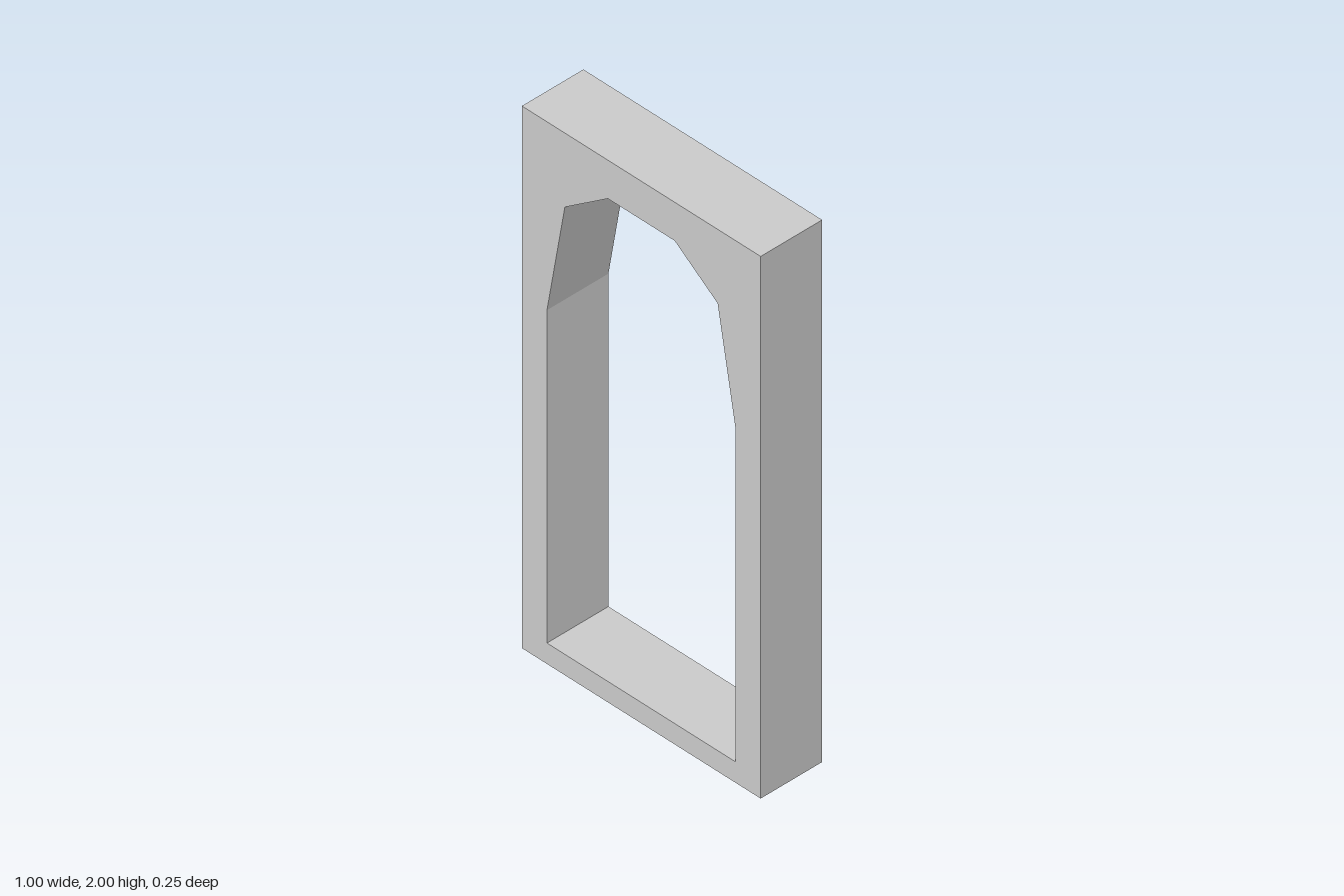
import * as THREE from 'three';

const WIDTH = 1, HEIGHT = 2, DEPTH = 0.25;

// Right half of the arched opening, from sill to crown
const HALF_OPENING = [[0.395, 0.077], [0.395, 1.305], [0.32, 1.727], [0.14, 1.858]];

export function createModel() {
  const group = new THREE.Group();
  group.name = 'archedFrame';

  // Rectangular slab outline
  const w = WIDTH / 2;
  const outline = new THREE.Shape([[-w, 0], [w, 0], [w, HEIGHT], [-w, HEIGHT]]
    .map(([x, y]) => new THREE.Vector2(x, y)));

  // Faceted arch opening, mirrored about x = 0
  const mirrored = HALF_OPENING.map(([x, y]) => [-x, y]).reverse();
  outline.holes.push(new THREE.Path([...HALF_OPENING, ...mirrored]
    .map(([x, y]) => new THREE.Vector2(x, y))));

  const geometry = new THREE.ExtrudeGeometry(outline, { depth: DEPTH, bevelEnabled: false });
  geometry.translate(0, 0, -DEPTH / 2);

  const frame = new THREE.Mesh(geometry,
    new THREE.MeshStandardMaterial({ color: 0xcccccc, flatShading: true }));
  frame.name = 'frame';
  group.add(frame);
  return group;
}
